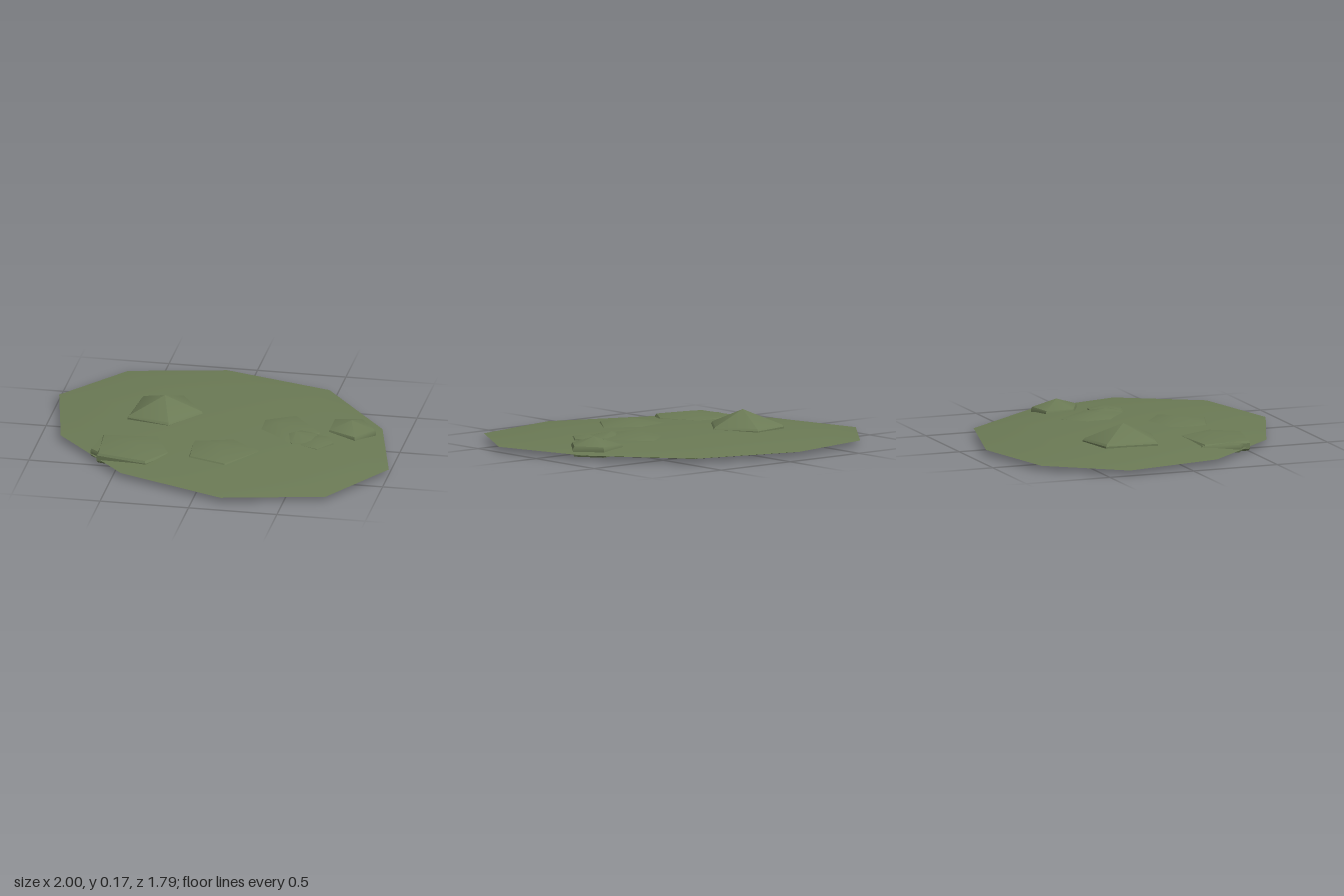
import * as THREE from 'three';
import { toCreasedNormals } from 'three/addons/utils/BufferGeometryUtils.js';

const moss = new THREE.MeshStandardMaterial({ color: 0x6b7a55 });
moss.name = 'mossGreen';

// Closed mound: outline of [x, z] points (clockwise from above), rings of [scale, y]
// from the underside up, all scaled about the apex [x, y, z].
function mound(name, outline, rings, apex) {
  const n = outline.length;
  const [ax, ay, az] = apex;
  const pos = [ax, rings[0][1], az];
  for (const [s, y] of rings) {
    for (const [x, z] of outline) pos.push(ax + (x - ax) * s, y, az + (z - az) * s);
  }
  pos.push(ax, ay, az);
  const top = pos.length / 3 - 1;
  const index = [];
  const last = 1 + (rings.length - 1) * n;
  for (let i = 0; i < n; i++) {
    const j = (i + 1) % n;
    index.push(0, 1 + i, 1 + j);
    for (let r = 0; r < rings.length - 1; r++) {
      const a = 1 + r * n + i, b = 1 + r * n + j;
      index.push(a, a + n, b, b, a + n, b + n);
    }
    index.push(last + i, top, last + j);
  }
  const geo = new THREE.BufferGeometry();
  geo.setAttribute('position', new THREE.Float32BufferAttribute(pos, 3));
  geo.setIndex(index);
  const mesh = new THREE.Mesh(toCreasedNormals(geo, 0.6), moss);
  mesh.name = name;
  return mesh;
}

// Five-sided lump: narrow foot, straight sides, low pointed top
const lump = (name, outline, foot, rim, apex) =>
  mound(name, outline, [[0.95, foot], [1, foot + 0.012], [1, rim - 0.012], [0.95, rim]], apex);

export function createModel() {
  const group = new THREE.Group();
  group.name = 'groundPatch';

  // Broad ten-sided base, slightly domed
  group.add(mound('base', [
    [-0.15, -0.9], [0.46, -0.73], [0.855, -0.24], [1, 0.32], [0.73, 0.77],
    [0.16, 0.895], [-0.45, 0.655], [-0.88, 0.19], [-1, -0.38], [-0.69, -0.785],
  ], [[0.93, 0.02], [1, 0.03], [0.85, 0.047], [0.6, 0.062], [0.3, 0.072]], [0, 0.076, 0]));

  // Lumps scattered over the base
  group.add(
    lump('tallLump', [[-0.52, -0.33], [-0.29, -0.38], [-0.145, -0.17], [-0.3, 0.035], [-0.545, -0.03]],
      0, 0.085, [-0.36, 0.168, -0.165]),
    lump('edgeLump', [[0.58, -0.25], [0.74, -0.275], [0.84, -0.13], [0.745, 0], [0.58, -0.08]],
      0.01, 0.068, [0.7, 0.112, -0.14]),
    lump('frontLump', [[0.1, 0.14], [0.275, 0.29], [0.11, 0.515], [-0.11, 0.44], [-0.13, 0.21]],
      0.012, 0.07, [0.04, 0.104, 0.31]),
    lump('cornerLump', [[-0.64, 0.21], [-0.33, 0.18], [-0.225, 0.4], [-0.33, 0.555], [-0.62, 0.49]],
      0.01, 0.066, [-0.42, 0.094, 0.36]),
    lump('cornerSmallLump', [[-0.64, 0.19], [-0.46, 0.25], [-0.43, 0.43], [-0.56, 0.5], [-0.67, 0.41]],
      0.015, 0.058, [-0.55, 0.076, 0.36]),
    lump('middleLump', [[0.37, -0.26], [0.55, -0.04], [0.42, 0.17], [0.19, 0], [0.19, -0.17]],
      0.014, 0.066, [0.3, 0.104, -0.05]),
    lump('middleSmallLump', [[0.45, -0.06], [0.54, -0.01], [0.55, 0.12], [0.42, 0.16], [0.34, 0.04]],
      0.015, 0.07, [0.42, 0.096, 0.04]),
    lump('outerSmallLump', [[0.52, -0.01], [0.6, 0], [0.645, 0.09], [0.57, 0.2], [0.46, 0.16]],
      0.015, 0.066, [0.55, 0.083, 0.09]),
  );
  return group;
}
